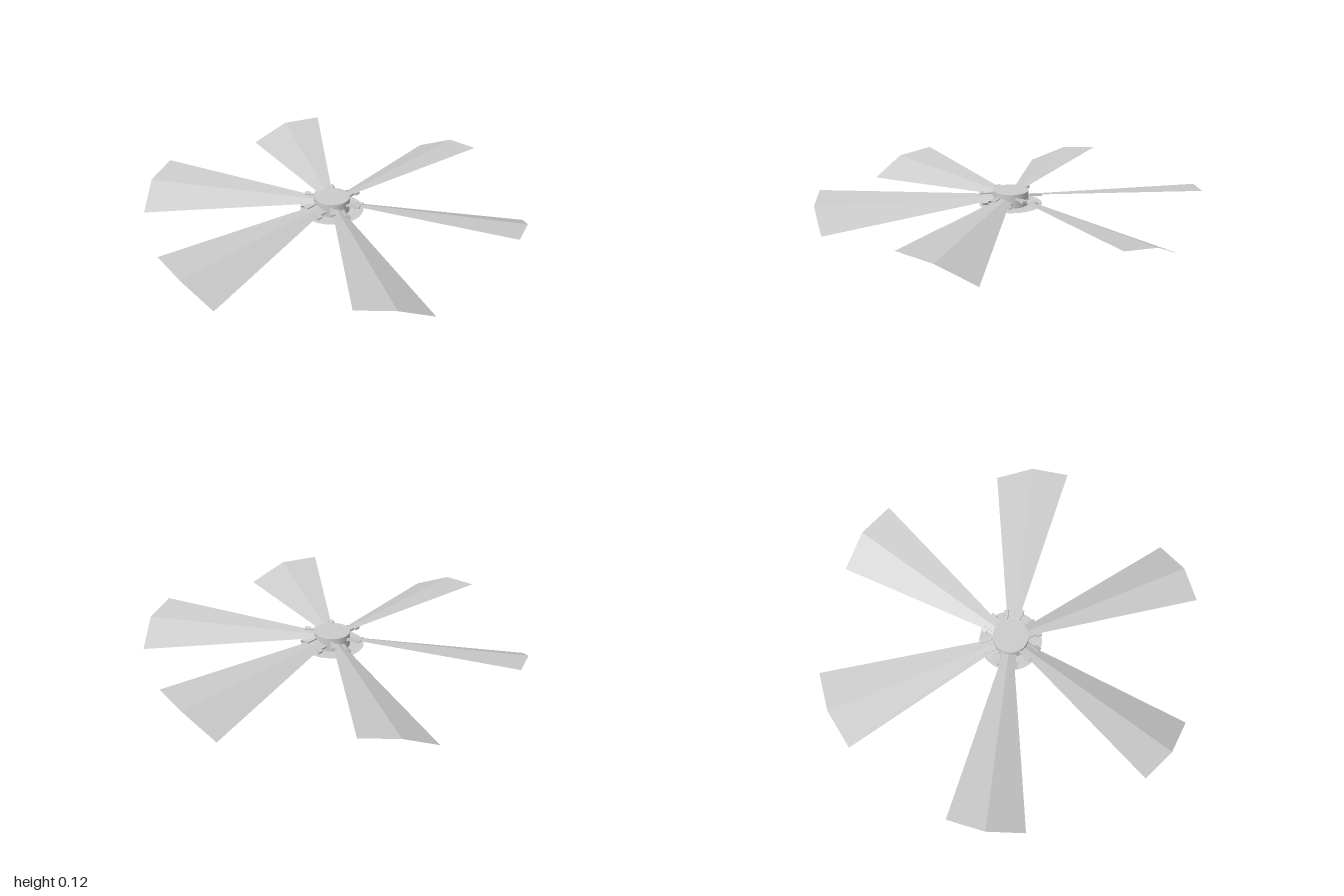
import * as THREE from 'three';

const HUB_R = 0.092, HUB_TOP = 0.12, HUB_BOTTOM = 0.048, FOLD_Y = 0.093;

const material = (flat) => new THREE.MeshStandardMaterial({
  color: 0xcccccc, side: THREE.DoubleSide, flatShading: flat,
});

function addMesh(parent, name, geometry, mat) {
  const mesh = new THREE.Mesh(geometry, mat);
  mesh.name = name;
  parent.add(mesh);
  return mesh;
}

// Thin plate folded along its centre line: a shallow rising side and a steep falling side
function bladeGeometry() {
  const heightAt = (x) => FOLD_Y + (x < 0 ? -x * 0.12 : -x * 0.468);
  const point = (x, z) => [x, heightAt(x), z];
  const positions = [
    ...point(-0.027, 0.09), ...point(0, 0.09), ...point(0.027, 0.09),
    ...point(-0.195, 0.97), ...point(0, 1), ...point(0.195, 0.97),
  ];
  const g = new THREE.BufferGeometry();
  g.setAttribute('position', new THREE.Float32BufferAttribute(positions, 3));
  g.setIndex([0, 3, 4, 0, 4, 1, 1, 4, 5, 1, 5, 2]);
  const flat = g.toNonIndexed();
  flat.computeVertexNormals();
  return flat;
}

export function createModel() {
  const model = new THREE.Group();
  model.name = 'fanRotor';
  const smooth = material(false), faceted = material(true);

  // Hollow hub, closed on top and open below
  const hub = new THREE.Group();
  hub.name = 'hub';
  model.add(hub);
  const wall = addMesh(hub, 'hubWall',
    new THREE.CylinderGeometry(HUB_R, HUB_R, HUB_TOP - HUB_BOTTOM, 48, 1, true), smooth);
  wall.position.y = (HUB_TOP + HUB_BOTTOM) / 2;
  const cap = addMesh(hub, 'hubCap', new THREE.CircleGeometry(HUB_R, 48), smooth);
  cap.rotation.x = -Math.PI / 2;
  cap.position.y = HUB_TOP;
  const flange = addMesh(hub, 'hubFlange', new THREE.RingGeometry(HUB_R, 0.163, 48), smooth);
  flange.rotation.x = -Math.PI / 2;
  flange.position.y = HUB_BOTTOM;

  // Six blades, each held by a pair of stepped clips at the root
  const blade = bladeGeometry();
  const arm = new THREE.BoxGeometry(0.014, 0.012, 0.08);
  const lip = new THREE.BoxGeometry(0.014, 0.012, 0.03);
  for (let i = 0; i < 6; i++) {
    const unit = new THREE.Group();
    unit.name = 'bladeUnit';
    unit.rotation.y = i * Math.PI / 3;
    model.add(unit);
    addMesh(unit, 'blade', blade, faceted);
    for (const side of [-1, 1]) {
      const tilt = side < 0 ? -0.12 : -0.44;
      const y = FOLD_Y + side * 0.035 * Math.tan(tilt);
      const a = addMesh(unit, 'clipArm', arm, faceted);
      a.position.set(side * 0.033, y, 0.115);
      a.rotation.z = tilt;
      const l = addMesh(unit, 'clipLip', lip, faceted);
      l.position.set(side * 0.045, y + side * 0.012 * Math.tan(tilt), 0.14);
      l.rotation.z = tilt;
    }
  }
  return model;
}
